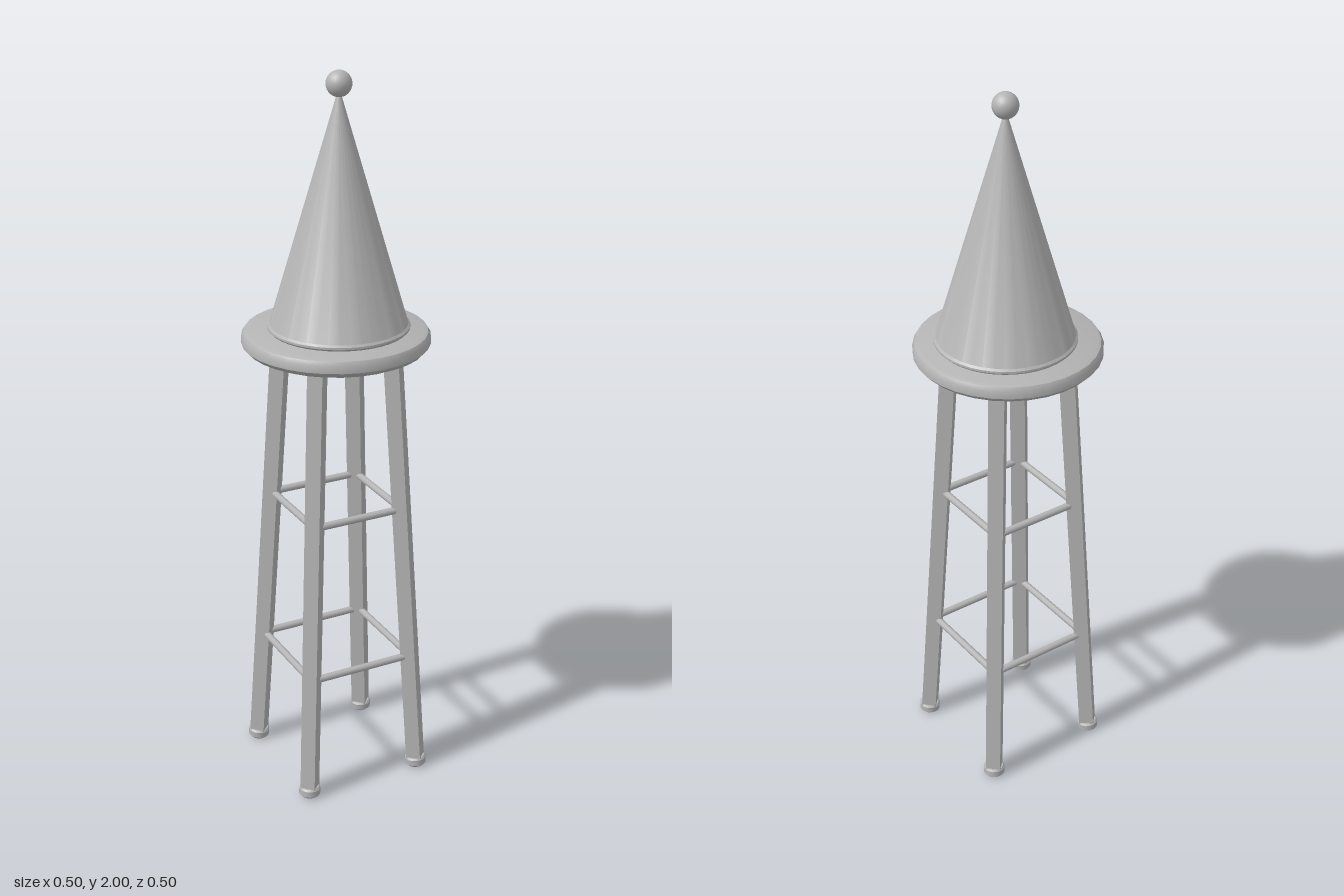
import * as THREE from 'three';
import { toCreasedNormals } from 'three/addons/utils/BufferGeometryUtils.js';

export function createModel() {
  const model = new THREE.Group();
  model.name = 'stoolWithConeHat';
  const grey = new THREE.MeshStandardMaterial({ color: 0xb4b4b4 });
  grey.name = 'plainGrey';

  const add = (name, geometry, parent = model) => {
    const mesh = new THREE.Mesh(geometry, grey);
    mesh.name = name;
    parent.add(mesh);
    return mesh;
  };
  const lathe = (points, segments) => toCreasedNormals(
    new THREE.LatheGeometry(points.map(([r, y]) => new THREE.Vector2(r, y)), segments), 0.6);

  // Round seat with softened rim
  add('seat', lathe([[0, 1.265], [0.225, 1.265], [0.24, 1.272], [0.252, 1.285],
    [0.252, 1.305], [0.245, 1.316], [0.235, 1.32], [0, 1.32]], 32));

  // Tall cone hat with a small lip, and a ball at the tip
  const hat = new THREE.Group();
  hat.name = 'hat';
  hat.position.x = 0.008;
  model.add(hat);
  add('hatCone', lathe([[0, 1.318], [0.183, 1.318], [0.19, 1.325], [0.19, 1.331],
    [0.184, 1.336], [0.004, 1.945], [0, 1.945]], 40), hat);
  add('hatBall', new THREE.SphereGeometry(0.034, 24, 16), hat).position.y = 1.966;

  // Splayed legs, each turned to face its corner
  const topY = 1.27;
  const legCentre = (y) => 0.172 - 0.061 * (y / topY);
  const up = new THREE.Vector3(0, 1, 0);
  for (let i = 0; i < 4; i++) {
    const corner = new THREE.Group();
    corner.name = 'leg' + (i + 1);
    corner.rotation.y = Math.PI / 4 + i * Math.PI / 2;
    model.add(corner);
    const bottom = new THREE.Vector3(0, 0.008, legCentre(0.008) * Math.SQRT2);
    const top = new THREE.Vector3(0, topY, legCentre(topY) * Math.SQRT2);
    const axis = top.clone().sub(bottom);
    const length = axis.length();
    axis.normalize();

    const shaft = add('legShaft', new THREE.BoxGeometry(0.042, length, 0.042), corner);
    shaft.position.copy(bottom).add(top).multiplyScalar(0.5);
    shaft.quaternion.setFromUnitVectors(up, axis);

    // Rounded foot cap
    const foot = add('foot', lathe([[0, 0], [0.024, 0], [0.03, 0.006], [0.03, 0.023],
      [0.026, 0.028], [0, 0.028]], 16), corner);
    foot.position.set(0, 0.003, legCentre(0) * Math.SQRT2);
    foot.quaternion.copy(shaft.quaternion);
  }

  // Two square rings of rungs
  for (const [name, y] of [['lowerRung', 0.36], ['upperRung', 0.815]]) {
    const c = legCentre(y);
    for (let i = 0; i < 4; i++) {
      const side = new THREE.Group();
      side.name = name + (i + 1);
      side.rotation.y = i * Math.PI / 2;
      model.add(side);
      const rung = add(name, new THREE.CylinderGeometry(0.01, 0.01, 2 * c - 0.02, 12), side);
      rung.rotation.z = Math.PI / 2;
      rung.position.set(0, y, c);
    }
  }
  return model;
}
